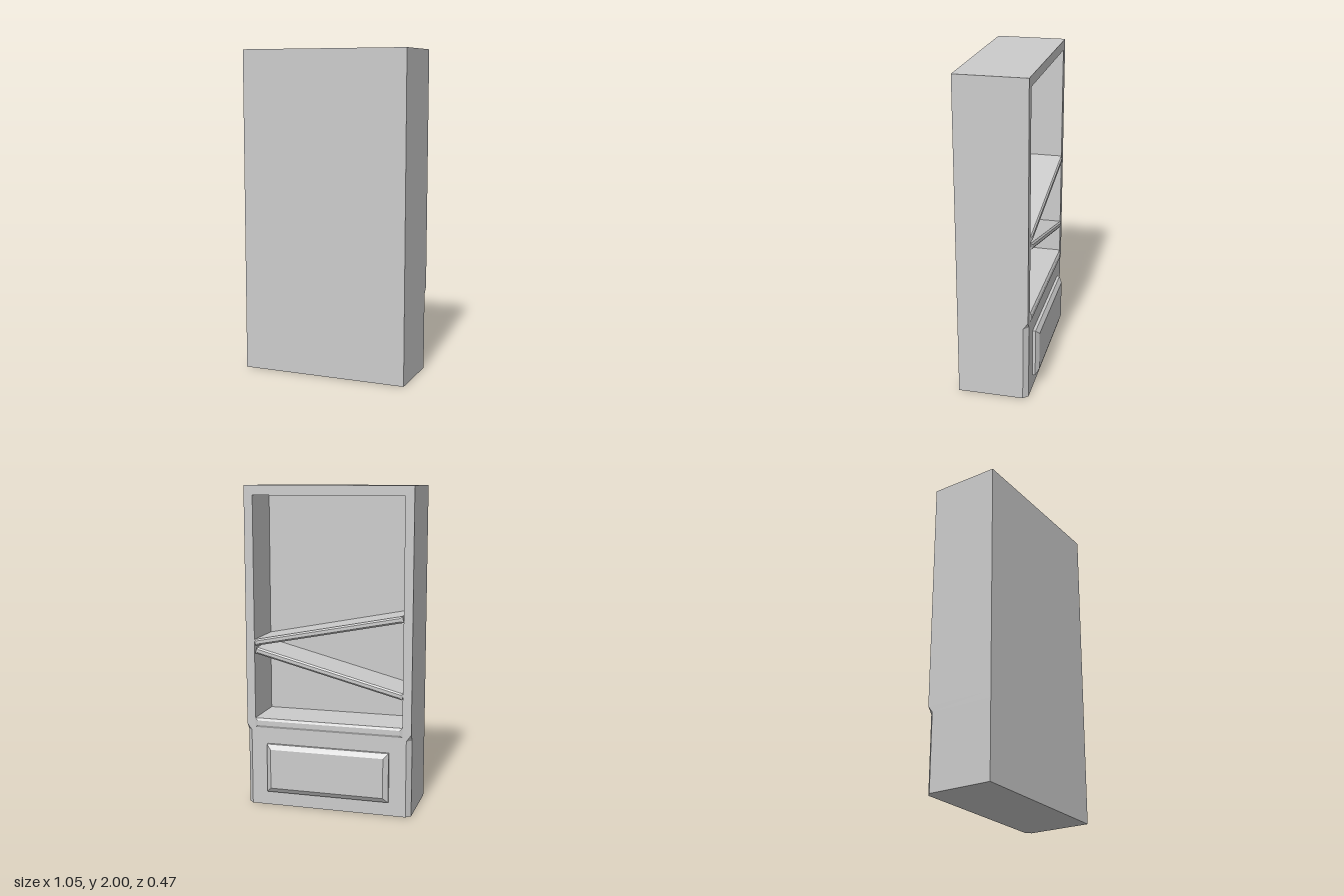
import * as THREE from 'three';

const material = new THREE.MeshStandardMaterial({ color: 0xcccccc, flatShading: true });

// Skin a closed solid over rings of points (counter-clockwise seen from the last ring)
function loft(rings) {
  const pos = [];
  const tri = (...pts) => pts.forEach((p) => pos.push(...p));
  const n = rings[0].length;
  for (let r = 0; r < rings.length - 1; r++) {
    const a = rings[r], b = rings[r + 1];
    for (let i = 0; i < n; i++) {
      const j = (i + 1) % n;
      tri(a[i], a[j], b[j]);
      tri(a[i], b[j], b[i]);
    }
  }
  const first = rings[0], last = rings[rings.length - 1];
  for (let i = 1; i < n - 1; i++) {
    tri(first[0], first[i + 1], first[i]);
    tri(last[0], last[i], last[i + 1]);
  }
  const geo = new THREE.BufferGeometry();
  geo.setAttribute('position', new THREE.Float32BufferAttribute(pos, 3));
  geo.computeVertexNormals();
  return geo;
}

// Rectangle in the xy plane, centred on the axis
const rect = (w, h, z) => [
  [-w / 2, -h / 2, z], [w / 2, -h / 2, z], [w / 2, h / 2, z], [-w / 2, h / 2, z],
];

export function createModel() {
  const group = new THREE.Group();
  group.name = 'bookcase';
  const add = (name, geo, x = 0, y = 0, z = 0) => {
    const mesh = new THREE.Mesh(geo, material);
    mesh.name = name;
    mesh.position.set(x, y, z);
    group.add(mesh);
    return mesh;
  };

  const W = 0.525, zOpen = -0.2, zInner = 0.1, zWall = 0.235, split = 0.52;

  // Upper carcass: frame around the open compartment
  const frame = new THREE.Shape([
    new THREE.Vector2(-W, split), new THREE.Vector2(W, split),
    new THREE.Vector2(W, 2), new THREE.Vector2(-W, 2),
  ]);
  frame.holes.push(new THREE.Path([
    new THREE.Vector2(-0.47, 0.56), new THREE.Vector2(-0.47, 1.94),
    new THREE.Vector2(0.47, 1.94), new THREE.Vector2(0.47, 0.56),
  ]));
  add('upperFrame', new THREE.ExtrudeGeometry(frame, { depth: zInner - zOpen, bevelEnabled: false }), 0, 0, zOpen);

  // Thick wall closing the compartment
  add('wallPanel', new THREE.BoxGeometry(2 * W, 2 - split, zWall - zInner),
    0, (2 + split) / 2, (zInner + zWall) / 2);

  // Base block with stopped chamfers on two corners
  const baseRing = (y, c) => [
    [-W, y, zWall], [W, y, zWall], [W, y, zOpen + c],
    [W - c, y, zOpen], [-W + c, y, zOpen], [-W, y, zOpen + c],
  ];
  add('baseCabinet', loft([baseRing(0, 0.03), baseRing(0.48, 0.03), baseRing(split, 0.0005)]));

  // Slipped shelves, tilted, each with a bevelled nose
  const shelf = (length) => loft([
    rect(length - 0.03, 0.02, -0.208), rect(length, 0.04, zOpen), rect(length, 0.04, zInner),
  ]);
  add('upperShelf', shelf(0.95), 0, 1.13, 0).rotation.z = -0.193;
  add('lowerShelf', shelf(0.96), -0.005, 0.872, 0).rotation.z = 0.252;

  // Moulding below the opening
  add('moulding', loft([rect(0.91, 0.03, -0.208), rect(0.94, 0.06, zOpen)]), 0, 0.53, 0);

  // Raised, bevelled drawer panel
  add('drawerPanel', loft([
    rect(0.72, 0.25, -0.238), rect(0.78, 0.31, -0.218), rect(0.78, 0.31, zOpen),
  ]), 0, 0.245, 0);

  return group;
}
